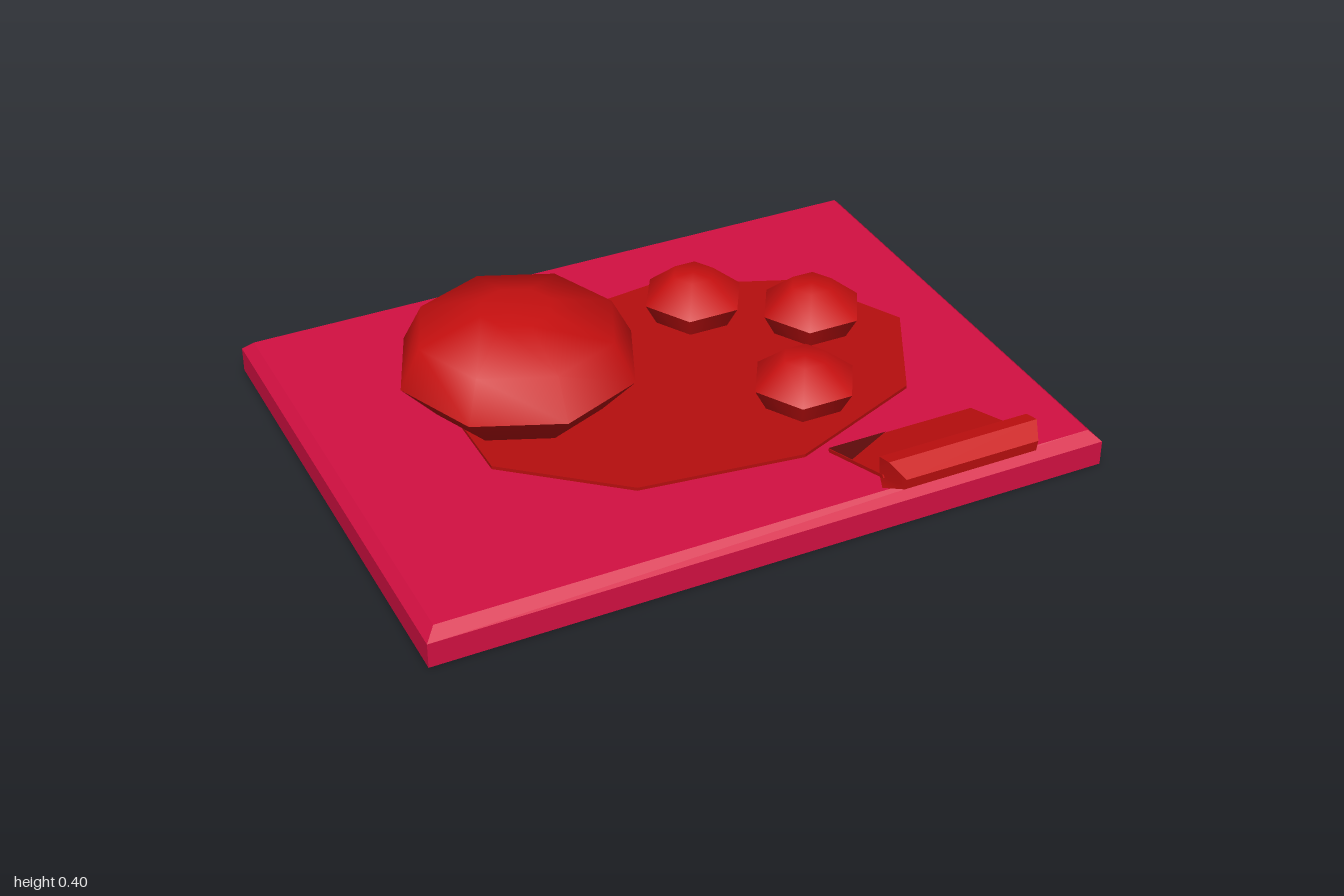
import * as THREE from 'three';
import { toCreasedNormals } from 'three/addons/utils/BufferGeometryUtils.js';

const mat = (name, color) => new THREE.MeshStandardMaterial({ name, color });

export function createModel() {
  const crimson = mat('crimson board', 0xd41042);
  const red = mat('red', 0xc81010);
  const plateRed = mat('plate red', 0xb60e0e);
  const darkRed = mat('dark fold red', 0x6a0d0d);
  const model = new THREE.Group();

  function add(name, geometry, material, x = 0, y = 0, z = 0, parent = model) {
    const mesh = new THREE.Mesh(geometry, material);
    mesh.name = name;
    mesh.position.set(x, y, z);
    parent.add(mesh);
    return mesh;
  }

  // Faceted round body turned from a profile of [radius, height] pairs
  function turned(profile, sides) {
    const points = profile.map(([r, y]) => new THREE.Vector2(r, y));
    return toCreasedNormals(new THREE.LatheGeometry(points, sides, Math.PI / 2), 1.0);
  }

  // Board: box whose top edge is bevelled
  const board = new THREE.BoxGeometry(2, 0.105, 1.5, 1, 2, 1);
  const p = board.attributes.position;
  for (let i = 0; i < p.count; i++) {
    if (p.getY(i) > 0.04) {
      p.setX(i, Math.sign(p.getX(i)) * 0.97);
      p.setZ(i, Math.sign(p.getZ(i)) * 0.72);
    } else if (p.getY(i) > -0.04) p.setY(i, 0.0225);
  }
  add('board', toCreasedNormals(board, 0.5), crimson, 0, 0.0525, -0.06);

  // Flat nine-sided oval plate
  const plate = new THREE.CylinderGeometry(1, 1, 0.01, 9, 1, false, Math.PI / 2);
  plate.scale(0.71, 1, 0.5);
  add('plate', toCreasedNormals(plate, 0.5), plateRed, 0.08, 0.11, -0.06);

  // Large loaf
  const loaf = turned([[0, 0.115], [0.25, 0.115], [0.35, 0.225], [0.29, 0.342], [0.105, 0.398], [0, 0.398]], 8);
  add('loaf', loaf, red, -0.38, 0, -0.185);

  // Three small buns
  const bun = turned([[0, 0.114], [0.12, 0.114], [0.155, 0.18], [0.065, 0.255], [0, 0.258]], 6);
  [[0.25, -0.35], [0.535, -0.145], [0.33, 0.19]].forEach(([x, z]) => add('bun', bun, red, x, 0, z));

  // Sloping sheet that rises over the board's front edge
  const sheet = new THREE.Group();
  sheet.name = 'sheet';
  sheet.position.set(0.4975, 0.113, 0.443);
  sheet.rotation.x = -0.33;
  model.add(sheet);
  add('sheetPanel', new THREE.BoxGeometry(0.455, 0.01, 0.3), red, 0, 0, 0.15, sheet);
  const corner = new THREE.Shape([[0, 0], [0.18, 0], [0, -0.135]].map(([x, y]) => new THREE.Vector2(x, y)).reverse());
  const fold = new THREE.ShapeGeometry(corner);
  fold.rotateX(-Math.PI / 2);
  add('sheetCorner', fold, darkRed, -0.2275, 0.007, 0, sheet);

  // Rolled end of the sheet: uneven hexagon run along x, its front edge cut in
  const section = [[0.804, 0.241], [0.753, 0.272], [0.705, 0.26], [0.71, 0.207], [0.728, 0.174], [0.798, 0.207]];
  const rollShape = new THREE.Shape(section.map(([z, y]) => new THREE.Vector2(-z, y)));
  const roll = new THREE.ExtrudeGeometry(rollShape, { depth: 0.455, bevelEnabled: false });
  roll.rotateY(Math.PI / 2);
  const q = roll.attributes.position;
  for (let i = 0; i < q.count; i++) {
    if (q.getZ(i) > 0.79) q.setX(i, q.getX(i) < 0.2 ? 0.025 : 0.43);
  }
  add('sheetRoll', toCreasedNormals(roll, 0.6), red, 0.27, 0, 0);

  return model;
}
